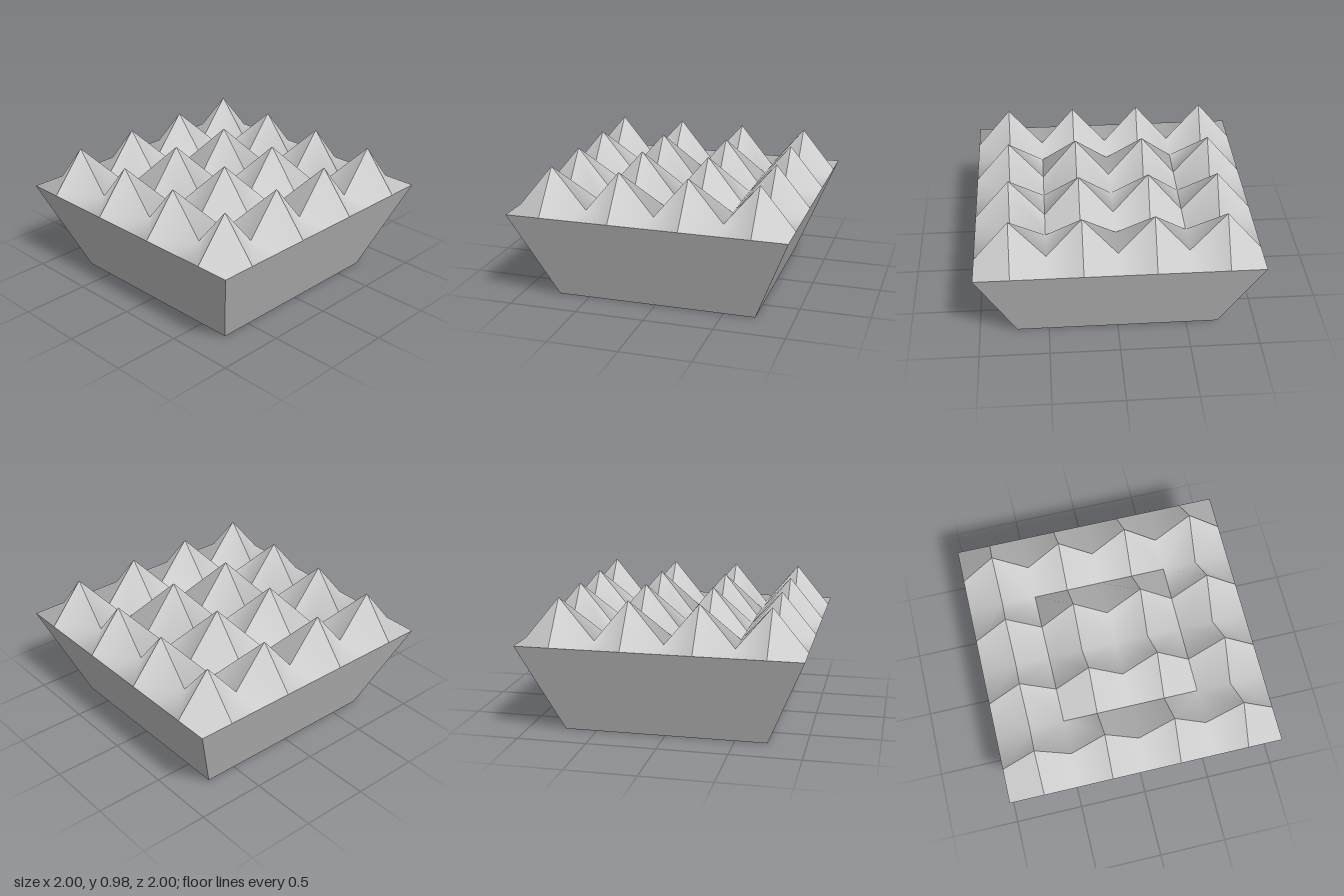
import * as THREE from 'three';

const RIM = 0.67; // height of the rim and of the valleys
const STEP = 0.25; // half the spacing of the spikes

// Spikes at the given centres, each made of four folded quarters
function spikeField(name, centres, peak, material) {
  const pos = [];
  const keys = [];
  const normals = new Map();
  const tilt = (peak - RIM) / (2 * STEP);
  for (const [x, z] of centres) {
    for (const sx of [-1, 1]) {
      for (const sz of [-1, 1]) {
        const top = [x, peak, z];
        const midX = [x + sx * STEP, RIM, z];
        const midZ = [x, RIM, z + sz * STEP];
        const corner = [midX[0], RIM, midZ[2]];

        // Shading is smooth inside each bowl and sharp along the ridges
        const bowl = [Math.round(2 * x + sx * STEP), Math.round(2 * z + sz * STEP)];
        const normal = new THREE.Vector3(sx * tilt, 1, sz * tilt).normalize();
        for (const p of [top, midX, midZ, corner]) {
          const key = [...bowl, p[0], p[2]].join();
          if (!normals.has(key)) normals.set(key, new THREE.Vector3());
          normals.get(key).add(normal);
        }

        // Flat corners along the rim, folds running out to the corner elsewhere
        const onRim = Math.max(Math.abs(corner[0]), Math.abs(corner[2])) > 0.99;
        const triangles = onRim
          ? [[top, midZ, midX], [corner, midX, midZ]]
          : [[top, midZ, corner], [top, corner, midX]];
        for (const [a, b, c] of triangles) {
          for (const p of sx * sz > 0 ? [a, b, c] : [a, c, b]) {
            pos.push(...p);
            keys.push([...bowl, p[0], p[2]].join());
          }
        }
      }
    }
  }
  const geometry = new THREE.BufferGeometry();
  geometry.setAttribute('position', new THREE.Float32BufferAttribute(pos, 3));
  const normalList = keys.flatMap((key) => normals.get(key).clone().normalize().toArray());
  geometry.setAttribute('normal', new THREE.Float32BufferAttribute(normalList, 3));
  const mesh = new THREE.Mesh(geometry, material);
  mesh.name = name;
  return mesh;
}

export function createModel() {
  const group = new THREE.Group();
  group.name = 'spikedBlock';
  const material = new THREE.MeshStandardMaterial({ color: 0xcccccc });
  const flat = new THREE.MeshStandardMaterial({ color: 0xcccccc, flatShading: true });

  // Flared four-sided walls
  const base = 0.73;
  const walls = new THREE.CylinderGeometry(Math.SQRT2, base * Math.SQRT2, RIM, 4, 1, true);
  walls.rotateY(Math.PI / 4).translate(0, RIM / 2, 0);
  const wallMesh = new THREE.Mesh(walls, flat);
  wallMesh.name = 'walls';

  // Underside
  const bottom = new THREE.Mesh(new THREE.PlaneGeometry(base * 2, base * 2).rotateX(Math.PI / 2), flat);
  bottom.name = 'bottom';
  group.add(wallMesh, bottom);

  // Four by four spikes: an outer ring and a slightly taller inner block
  const inner = [];
  const outer = [];
  const places = [-0.75, -0.25, 0.25, 0.75];
  for (const x of places) {
    for (const z of places) {
      (Math.max(Math.abs(x), Math.abs(z)) < 0.5 ? inner : outer).push([x, z]);
    }
  }
  group.add(spikeField('outerSpikes', outer, 0.972, material));
  group.add(spikeField('innerSpikes', inner, 0.984, material));
  return group;
}
